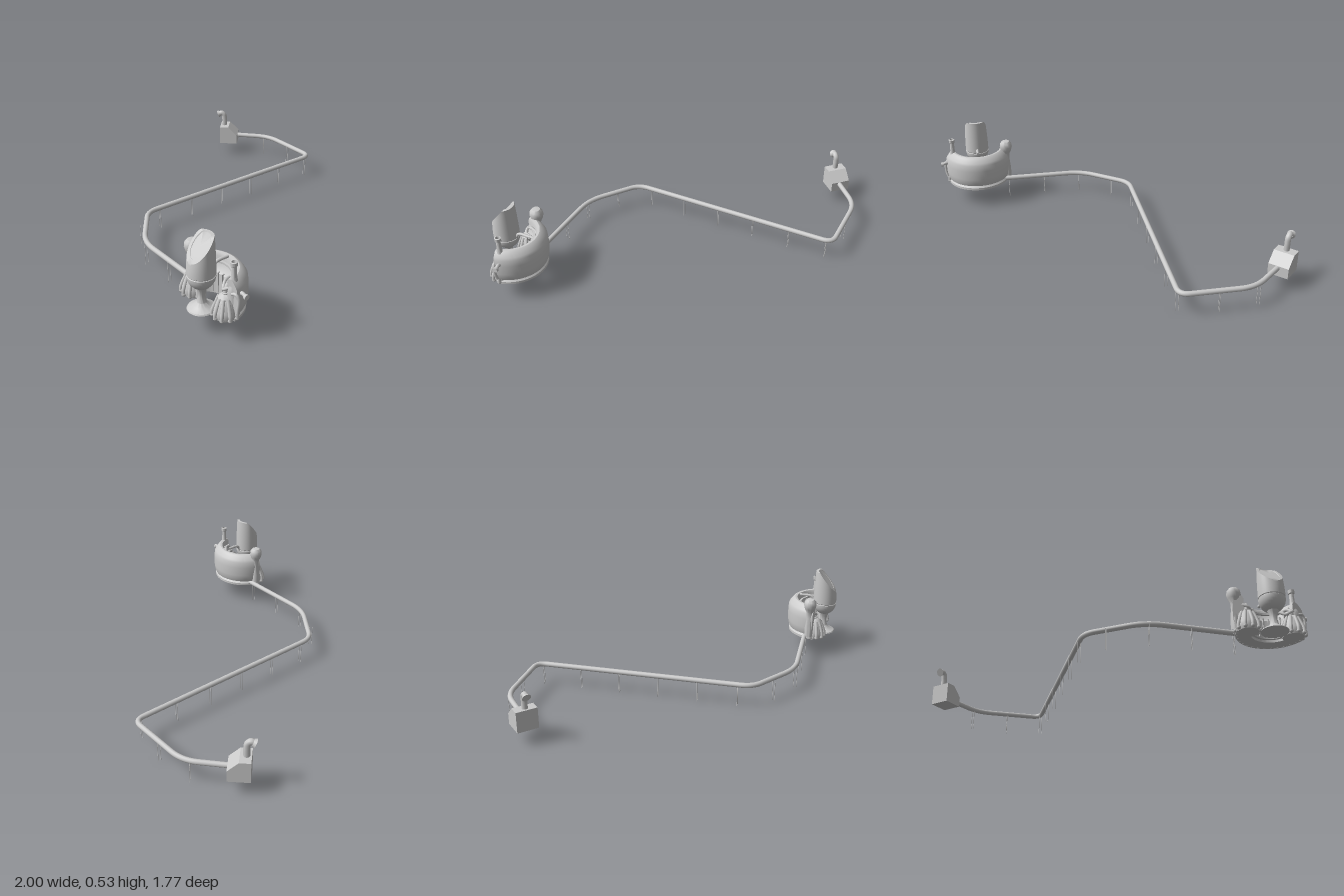
import * as THREE from 'three';
import { toCreasedNormals } from 'three/addons/utils/BufferGeometryUtils.js';

const grey = new THREE.MeshStandardMaterial({ color: 0xcccccc });
const greyDouble = new THREE.MeshStandardMaterial({ color: 0xcccccc, side: THREE.DoubleSide });
const V = (x, y, z) => new THREE.Vector3(x, y, z);
const P = (list) => list.map(([a, b]) => new THREE.Vector2(a, b));

function add(parent, name, geo, x = 0, y = 0, z = 0, mat = grey) {
  const m = new THREE.Mesh(geo, mat);
  m.name = name;
  m.position.set(x, y, z);
  parent.add(m);
  return m;
}
const lathe = (pts, seg = 28, start = 0, len = Math.PI * 2) =>
  toCreasedNormals(new THREE.LatheGeometry(P(pts), seg, start, len), 0.6);
const tube = (pts, r, seg = 28) =>
  new THREE.TubeGeometry(new THREE.CatmullRomCurve3(pts.map((p) => V(...p))), seg, r, 8);

// Straight runs joined by rounded corners; entries are [x, z, corner cut]
function roundedPath(pts, y) {
  const path = new THREE.CurvePath();
  const p = pts.map(([x, z]) => V(x, y, z));
  let last = p[0];
  for (let i = 1; i < p.length - 1; i++) {
    const cut = pts[i][2];
    const a = p[i].clone().add(p[i - 1].clone().sub(p[i]).setLength(cut));
    const b = p[i].clone().add(p[i + 1].clone().sub(p[i]).setLength(cut));
    path.add(new THREE.LineCurve3(last, a));
    path.add(new THREE.QuadraticBezierCurve3(a, p[i], b));
    last = b;
  }
  path.add(new THREE.LineCurve3(last, p[p.length - 1]));
  return path;
}

function pipeline() {
  const g = new THREE.Group();
  g.name = 'pipeline';
  const path = roundedPath([[-0.88, -0.7], [-0.685, -0.872, 0.09], [-0.25, -0.872, 0.065],
    [-0.25, 0.48, 0.07], [0.045, 0.695, 0.1], [0.58, 0.695]], 0.135);
  add(g, 'pipe', new THREE.TubeGeometry(path, 260, 0.0155, 12));
  // Pairs of thin legs, placed across the run: [x, z, direction of run]
  const stations = [[0.55, 0.7, 0], [0.305, 0.7, 0], [0.065, 0.695, 0], [-0.145, 0.59, 0.65],
    [-0.48, -0.872, 0], [-0.715, -0.845, -0.75]];
  for (let i = 0; i < 6; i++) stations.push([-0.252, 0.39 - i * 0.244, Math.PI / 2]);
  const leg = new THREE.CylinderGeometry(0.0017, 0.0017, 0.128, 6);
  for (const [x, z, a] of stations)
    for (const s of [-0.009, 0.009])
      add(g, 'supportLeg', leg, x - Math.sin(a) * s, 0.064, z + Math.cos(a) * s);
  return g;
}

function pumpHouse() {
  const g = new THREE.Group();
  g.name = 'pumpHouse';
  g.position.set(-0.912, 0, -0.675);
  g.rotation.y = Math.PI / 4;
  const shape = new THREE.Shape(P([[-0.0625, 0.085], [0.0625, 0.085], [0.0625, 0.15],
    [0, 0.21], [-0.0625, 0.21]]));
  add(g, 'pumpBody', new THREE.ExtrudeGeometry(shape, { depth: 0.125, bevelEnabled: false }), 0, 0, -0.0625);
  // Bent exhaust with a flared mouth
  add(g, 'exhaustPipe', tube([[-0.035, 0.2, 0], [-0.035, 0.26, 0], [-0.04, 0.29, 0],
    [-0.056, 0.302, 0], [-0.07, 0.297, 0]], 0.018));
  const mouth = add(g, 'exhaustMouth', new THREE.CylinderGeometry(0.018, 0.026, 0.016, 16), -0.072, 0.295, 0);
  mouth.rotation.z = -1.15;
  return g;
}

// Slanted capsule on a flared pedestal
function capsule() {
  const g = new THREE.Group();
  g.name = 'capsule';
  g.position.set(0.75, 0, 0.803);
  add(g, 'pedestal', lathe([[0, 0.115], [0.078, 0.115], [0.074, 0.122], [0.045, 0.135], [0.026, 0.155],
    [0.02, 0.19], [0.023, 0.22], [0.035, 0.25], [0.03, 0.27]]));
  const pts = [[0, 0.235]];
  for (let i = 1; i <= 9; i++) {
    const a = (i / 9) * Math.PI / 2;
    pts.push([0.076 * Math.sin(a), 0.315 - 0.08 * Math.cos(a)]);
  }
  pts.push([0.073, 0.317], [0.073, 0.321], [0.076, 0.324]);
  const side = pts.length;
  for (let i = 1; i <= 10; i++) pts.push([0.076 - 0.006 * (i / 10) ** 2, 0.324 + i * 0.021]);
  pts.push([0.053, 0.534], [0.051, 0.528], [0, 0.528]);
  const geo = new THREE.LatheGeometry(P(pts), 36);
  // Squeeze everything above the groove under the slanted cut
  const pos = geo.attributes.position;
  for (let i = 0; i < pos.count; i++) {
    if (i % pts.length < side) continue;
    const top = Math.min(0.535, 0.395 + 1.2 * (0.076 - pos.getZ(i)));
    const t = (pos.getY(i) - 0.324) / 0.21;
    pos.setY(i, 0.324 + (top - 0.324) * t);
  }
  add(g, 'capsuleShell', toCreasedNormals(geo, 0.6), 0, 0, 0, greyDouble);
  add(g, 'capsuleArm', tube([[0, 0.3, -0.06], [0, 0.35, -0.09], [0, 0.357, -0.17]], 0.009));
  return g;
}

// Crescent wall made as a partial lathe with closed ends
function crescent(parent, name, pts, start, end) {
  const len = end - start;
  add(parent, name, lathe([...pts, pts[0]], 48, start, len), 0, 0, 0, greyDouble);
  for (const phi of [start, end]) {
    const cap = add(parent, name + 'End', new THREE.ShapeGeometry(new THREE.Shape(P(pts))), 0, 0, 0, greyDouble);
    cap.rotation.y = phi - Math.PI / 2;
  }
}

function station() {
  const g = new THREE.Group();
  g.name = 'station';
  const hall = new THREE.Group();
  hall.name = 'hall';
  hall.position.set(0.75, 0, 0.777);
  g.add(hall);
  const rad = THREE.MathUtils.degToRad;
  crescent(hall, 'hallWall', [[0.15, 0.15], [0.203, 0.15], [0.211, 0.17], [0.215, 0.2], [0.216, 0.26],
    [0.213, 0.3], [0.205, 0.315], [0.185, 0.34], [0.172, 0.347], [0.158, 0.345], [0.15, 0.33]], rad(99), rad(261));
  crescent(hall, 'basePlate', [[0.12, 0.12], [0.205, 0.12], [0.205, 0.135], [0.19, 0.152], [0.12, 0.152]], rad(97), rad(263));
  crescent(hall, 'innerConsole', [[0.105, 0.135], [0.155, 0.135], [0.155, 0.3], [0.135, 0.295], [0.125, 0.265],
    [0.11, 0.25]], rad(105), rad(255));
  crescent(hall, 'innerRail', [[0.13, 0.3], [0.142, 0.3], [0.142, 0.312], [0.13, 0.312]], rad(105), rad(255));
  // Ribs on the inner side
  for (let i = 0; i < 9; i++) {
    const a = rad(112 + i * 17);
    const rib = add(hall, 'innerRib', new THREE.BoxGeometry(0.008, 0.12, 0.03),
      Math.sin(a) * 0.115, 0.2, Math.cos(a) * 0.115);
    rib.rotation.y = a;
  }
  // Small studs beneath the outer rim
  for (let i = 0; i < 15; i++) {
    const a = rad(104 + i * 10.9);
    add(hall, 'rimStud', new THREE.SphereGeometry(0.007, 8, 6), Math.sin(a) * 0.195, 0.122, Math.cos(a) * 0.195);
  }

  // Pair of clawed domes at the crescent's ends
  for (const s of [-1, 1]) {
    const foot = new THREE.Group();
    foot.name = s > 0 ? 'leftDome' : 'rightDome';
    foot.position.set(0.75 + s * 0.135, 0, 0.753);
    g.add(foot);
    add(foot, 'dome', lathe([[0, 0.12], [0.06, 0.12], [0.066, 0.14], [0.063, 0.165], [0.052, 0.205],
      [0.04, 0.235], [0.022, 0.25], [0, 0.254]], 24));
    for (let i = 0; i < 7; i++) {
      const a = rad(-105 + i * 35);
      const claw = new THREE.Group();
      claw.name = 'claw';
      claw.rotation.y = a;
      foot.add(claw);
      add(claw, 'clawRidge', tube([[0, 0.128, 0.07], [0, 0.155, 0.068], [0, 0.19, 0.056], [0, 0.235, 0.037]], 0.01, 12));
      add(claw, 'clawTip', new THREE.SphereGeometry(0.0125, 10, 8), 0, 0.132, 0.067);
    }
  }

  // Ball tank on a tapering neck
  add(g, 'ballTank', lathe([[0.026, 0.14], [0.028, 0.2], [0.02, 0.27], [0.022, 0.31], [0.034, 0.335], [0.041, 0.36],
    [0.038, 0.383], [0.025, 0.399], [0, 0.404]], 24), 0.558, 0, 0.722);
  // Bottle-shaped chimney
  add(g, 'chimney', lathe([[0.03, 0.16], [0.034, 0.26], [0.032, 0.29], [0.021, 0.32], [0.015, 0.36], [0.013, 0.41],
    [0.018, 0.415], [0.019, 0.436], [0.013, 0.438], [0.011, 0.415], [0, 0.415]], 20), 0.915, 0, 0.725);

  // Looping service pipes
  for (const s of [-1, 1]) {
    const x = (v) => 0.75 + s * v;
    add(g, 'innerPipe', tube([[x(0.07), 0.285, 0.68], [x(0.085), 0.285, 0.72], [x(0.105), 0.265, 0.745],
      [x(0.13), 0.275, 0.76], [x(0.155), 0.29, 0.745], [x(0.17), 0.275, 0.725]], 0.009));
    add(g, 'domePipe', tube([[x(0.135), 0.24, 0.755], [x(0.135), 0.285, 0.75], [x(0.125), 0.305, 0.725],
      [x(0.11), 0.305, 0.68]], 0.01));
    add(g, 'pipeCollar', new THREE.TorusGeometry(0.012, 0.005, 8, 16), x(0.135), 0.256, 0.755).rotation.x = Math.PI / 2;
  }
  add(g, 'sidePipe', tube([[0.93, 0.27, 0.75], [0.955, 0.275, 0.745], [0.968, 0.255, 0.74], [0.968, 0.2, 0.74],
    [0.96, 0.165, 0.735]], 0.009));
  add(g, 'sideValve', tube([[0.935, 0.265, 0.715], [0.965, 0.275, 0.712], [0.987, 0.268, 0.71]], 0.011));
  add(g, 'valveEnd', new THREE.CylinderGeometry(0.015, 0.015, 0.014, 14), 0.991, 0.267, 0.71).rotation.z = Math.PI / 2;
  g.add(capsule());
  return g;
}

export function createModel() {
  const model = new THREE.Group();
  model.name = 'pipelineStation';
  model.add(pipeline(), pumpHouse(), station());
  return model;
}
